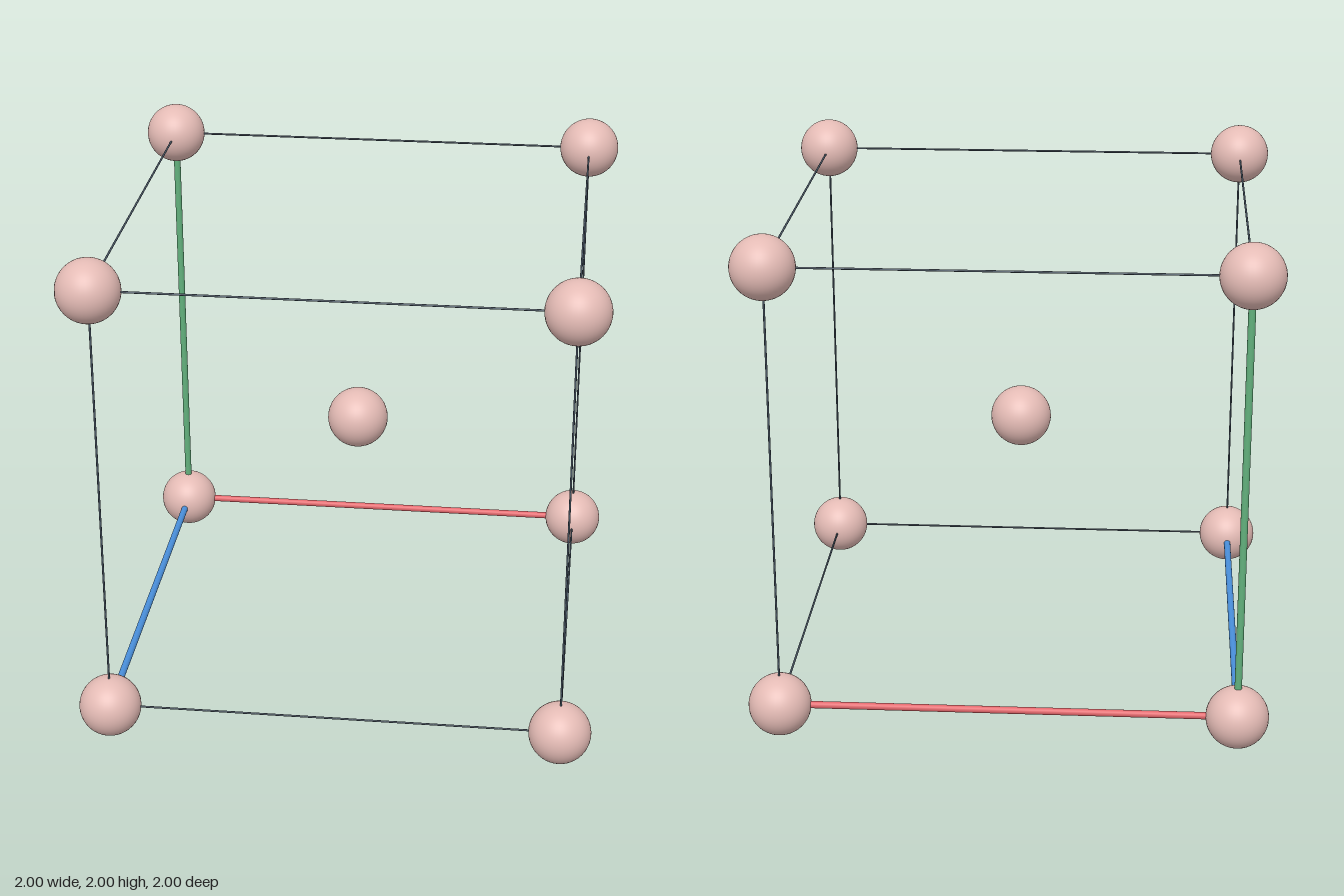
import * as THREE from 'three';

const HALF = 0.879, MID = 1, ATOM_R = 0.121, EDGE_R = 0.004, AXIS_R = 0.014;

function material(name, color) {
  const m = new THREE.MeshStandardMaterial({ color });
  m.name = name;
  return m;
}

export function createModel() {
  const group = new THREE.Group();
  group.name = 'cubicLattice';
  const pink = material('dusty pink', 0xe4bbb5);
  const slate = material('slate grey', 0x4a5866);
  const axisMaterials = [
    material('red', 0xe2666b),
    material('green', 0x62b07c),
    material('blue', 0x4a90dc),
  ];
  const axisNames = ['redAxisRod', 'greenAxisRod', 'blueAxisRod'];

  const atomGeometry = new THREE.SphereGeometry(ATOM_R, 40, 28);
  const edgeGeometry = new THREE.CylinderGeometry(EDGE_R, EDGE_R, 2 * HALF, 10);
  const axisGeometry = new THREE.CylinderGeometry(AXIS_R, AXIS_R, 2 * HALF, 20);

  function add(name, geometry, mat, position) {
    const mesh = new THREE.Mesh(geometry, mat);
    mesh.name = name;
    mesh.position.set(position[0], MID + position[1], position[2]);
    group.add(mesh);
    return mesh;
  }

  // Atoms at the centre and the eight corners
  add('centreAtom', atomGeometry, pink, [0, 0, 0]);
  for (const x of [-HALF, HALF])
    for (const y of [-HALF, HALF])
      for (const z of [-HALF, HALF]) add('cornerAtom', atomGeometry, pink, [x, y, z]);

  // Four parallel edges per axis; those leaving the origin corner are thick coloured rods
  for (let axis = 0; axis < 3; axis++) {
    for (const a of [-HALF, HALF]) {
      for (const b of [-HALF, HALF]) {
        const p = [0, 0, 0];
        p[(axis + 1) % 3] = a;
        p[(axis + 2) % 3] = b;
        const isAxis = a < 0 && b < 0;
        const rod = isAxis
          ? add(axisNames[axis], axisGeometry, axisMaterials[axis], p)
          : add('cellEdge', edgeGeometry, slate, p);
        if (axis === 0) rod.rotation.z = -Math.PI / 2;
        if (axis === 2) rod.rotation.x = Math.PI / 2;
      }
    }
  }
  return group;
}
